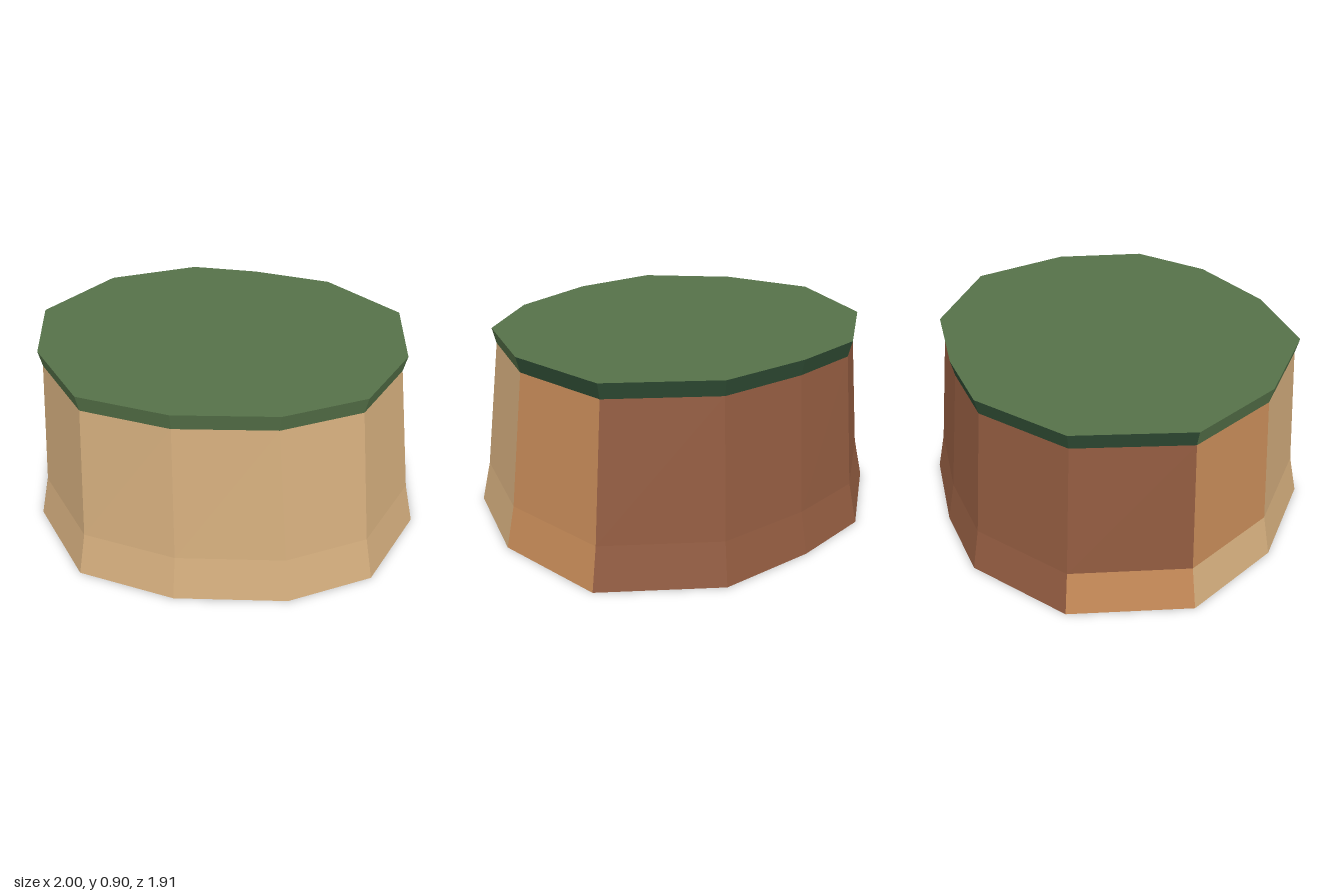
import * as THREE from 'three';

const mat = (name, color) => {
  const m = new THREE.MeshStandardMaterial({ color, side: THREE.DoubleSide });
  m.name = name;
  return m;
};

// Irregular twelve-sided outlines as [x, z], starting at the front and going round by +x
const BASE = [
  [0.05, 0.955], [0.475, 0.75], [0.84, 0.39], [1, 0], [0.87, -0.49], [0.51, -0.905],
  [-0.06, -0.96], [-0.47, -0.765], [-0.79, -0.535], [-1, -0.05], [-0.87, 0.51], [-0.46, 0.825],
];
const TOP = [
  [0.03, 0.875], [0.415, 0.685], [0.735, 0.365], [0.885, -0.005], [0.77, -0.435], [0.45, -0.8],
  [-0.06, -0.85], [-0.44, -0.67], [-0.725, -0.47], [-0.91, -0.035], [-0.8, 0.475], [-0.43, 0.76],
];

const ring = (outline, scale, y) => outline.map(([x, z]) => [x * scale, y, z * scale]);

// Flat-faced strip between two rings, covering only the listed sides
function strip(name, lower, upper, sides, material) {
  const pos = [];
  for (const i of sides) {
    const j = (i + 1) % lower.length;
    pos.push(...lower[i], ...lower[j], ...upper[j], ...lower[i], ...upper[j], ...upper[i]);
  }
  const g = new THREE.BufferGeometry();
  g.setAttribute('position', new THREE.Float32BufferAttribute(pos, 3));
  g.computeVertexNormals();
  const mesh = new THREE.Mesh(g, material);
  mesh.name = name;
  return mesh;
}

export function createModel() {
  const sand = mat('sand', 0xd2ac7c);
  const clay = mat('clay', 0xc48957);
  const earth = mat('brown earth', 0x905a3f);
  const grass = mat('grass', 0x567249);
  const darkGrass = mat('dark grass', 0x2f4c34);

  const foot = ring(BASE, 1, 0);
  const knee = ring(BASE, 0.953, 0.2);
  const neck = ring(TOP, 0.98, 0.83);
  const rim = ring(TOP, 1, 0.905);

  const model = new THREE.Group();
  model.name = 'grassyPlateau';

  // Flared skirt at the foot
  model.add(
    strip('skirtSand', foot, knee, [10, 11, 0, 1, 2, 3], sand),
    strip('skirtClay', foot, knee, [4, 9], clay),
    strip('skirtEarth', foot, knee, [5, 6, 7, 8], earth),
  );

  // Cliff wall
  model.add(
    strip('wallSand', knee, neck, [11, 0, 1, 2, 3], sand),
    strip('wallClay', knee, neck, [4, 10], clay),
    strip('wallEarth', knee, neck, [5, 6, 7, 8, 9], earth),
  );

  // Overhanging grass edge
  model.add(
    strip('grassEdge', neck, rim, [10, 11, 0, 1, 2, 3], grass),
    strip('grassEdgeDark', neck, rim, [4, 5, 6, 7, 8, 9], darkGrass),
  );

  // Flat grass top; the underside stays open
  const shape = new THREE.Shape(TOP.map(([x, z]) => new THREE.Vector2(x, -z)));
  const top = new THREE.Mesh(new THREE.ShapeGeometry(shape).rotateX(-Math.PI / 2), grass);
  top.position.y = 0.905;
  top.name = 'grassTop';
  model.add(top);

  return model;
}
